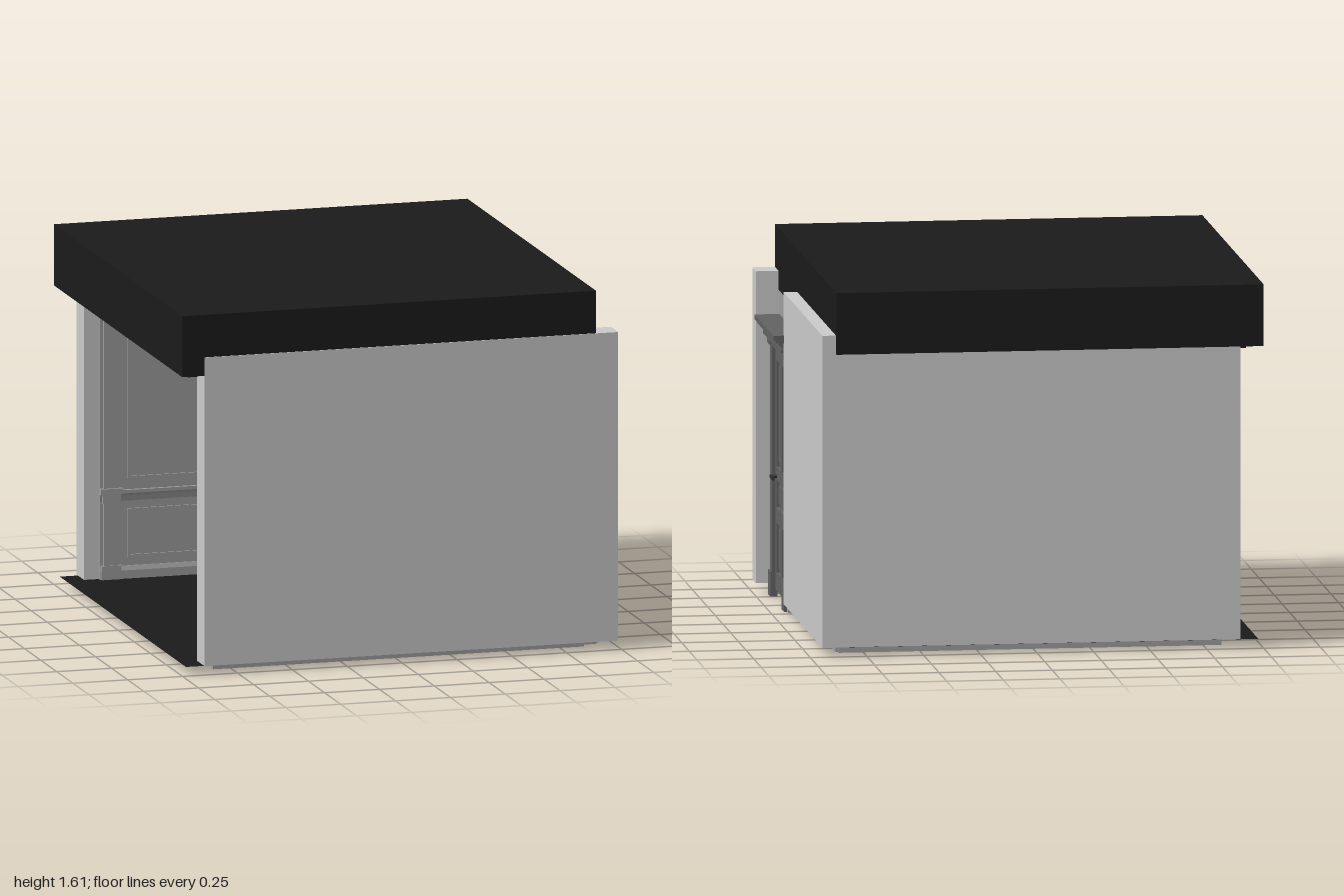
import * as THREE from 'three';

const mat = (color) => new THREE.MeshStandardMaterial({ color, flatShading: true });
const MATS = {
  wall: mat(0xcccccc), trim: mat(0x9f9f9f), door: mat(0x636363), roof: mat(0x1b1b1b), metal: mat(0x303030),
};

// Box given by its limits on each axis
function box(parent, name, m, [x0, x1], [y0, y1], [z0, z1]) {
  const mesh = new THREE.Mesh(new THREE.BoxGeometry(x1 - x0, y1 - y0, z1 - z0), MATS[m]);
  mesh.name = name;
  mesh.position.set((x0 + x1) / 2, (y0 + y1) / 2, (z0 + z1) / 2);
  parent.add(mesh);
  return mesh;
}

// Moulding profile (depth, height) swept along local x
function moulding(parent, name, m, profile, x0, x1) {
  const shape = new THREE.Shape(profile.map(([d, y]) => new THREE.Vector2(d, y)));
  const geo = new THREE.ExtrudeGeometry(shape, { depth: x1 - x0, bevelEnabled: false });
  geo.rotateY(-Math.PI / 2);
  geo.translate(x1, 0, 0);
  const mesh = new THREE.Mesh(geo, MATS[m]);
  mesh.name = name;
  parent.add(mesh);
}

function rect(target, x0, x1, y0, y1) {
  target.moveTo(x0, y0).lineTo(x1, y0).lineTo(x1, y1).lineTo(x0, y1).closePath();
  return target;
}

// Thin raised rectangular frame on a wall panel
function frame(parent, name, x0, x1, y0, y1) {
  const w = 0.014;
  const shape = rect(new THREE.Shape(), x0, x1, y0, y1);
  shape.holes.push(rect(new THREE.Path(), x0 + w, x1 - w, y0 + w, y1 - w));
  const geo = new THREE.ExtrudeGeometry(shape, { depth: 0.012, bevelEnabled: false });
  const mesh = new THREE.Mesh(geo, MATS.trim);
  mesh.name = name;
  parent.add(mesh);
}

// Wall panelling facing local +z, centred on local x
function panelling(name, length, pilasters) {
  const g = new THREE.Group();
  g.name = name;
  const h = length / 2;
  box(g, 'panelBacking', 'trim', [-h, h], [0.04, 1.33], [-0.005, 0.005]);
  moulding(g, 'baseboard', 'trim',
    [[-0.01, 0], [0.016, 0], [0.016, 0.075], [0.008, 0.095], [-0.01, 0.095]], -h, h);
  moulding(g, 'chairRail', 'trim',
    [[0, 0.385], [0.008, 0.385], [0.012, 0.41], [0.02, 0.42], [0.02, 0.435], [0, 0.435]], -h, h);
  moulding(g, 'cornice', 'trim',
    [[0, 1.26], [0.008, 1.26], [0.012, 1.29], [0.024, 1.31], [0.024, 1.34], [0, 1.34]], -h, h);
  for (const x of pilasters) {
    box(g, 'pilasterShaft', 'trim', [x - 0.035, x + 0.035], [0, 1.3], [0, 0.016]);
    box(g, 'pilasterPlinth', 'trim', [x - 0.045, x + 0.045], [0, 0.1], [0, 0.021]);
    for (const y of [0.42, 1.28]) {
      box(g, 'pilasterNeck', 'trim', [x - 0.041, x + 0.041], [y - 0.04, y], [0, 0.021]);
      box(g, 'pilasterCap', 'trim', [x - 0.05, x + 0.05], [y, y + 0.025], [0, 0.027]);
    }
  }
  for (let i = 0; i + 1 < pilasters.length; i++) {
    const a = pilasters[i] + 0.075, b = pilasters[i + 1] - 0.075;
    frame(g, 'lowerPanelFrame', a, b, 0.13, 0.35);
    frame(g, 'upperPanelFrame', a, b, 0.48, 1.21);
  }
  return g;
}

// Doorway facing local +z, centred on local x
function doorway() {
  const g = new THREE.Group();
  g.name = 'doorway';

  // Leaf with sunk panels
  const panels = [
    [-0.155, -0.02, 0.58, 1.05], [0.02, 0.155, 0.58, 1.05], [-0.155, 0.155, 0.4, 0.52],
    [-0.155, -0.02, 0.11, 0.33], [0.02, 0.155, 0.11, 0.33],
  ];
  const leaf = rect(new THREE.Shape(), -0.255, 0.255, 0.03, 1.12);
  for (const p of panels) leaf.holes.push(rect(new THREE.Path(), ...p));
  const leafMesh = new THREE.Mesh(
    new THREE.ExtrudeGeometry(leaf, { depth: 0.036, bevelEnabled: false }), MATS.door);
  leafMesh.name = 'doorLeaf';
  leafMesh.position.z = -0.018;
  g.add(leafMesh);
  for (const [x0, x1, y0, y1] of panels) {
    box(g, 'sunkPanel', 'door', [x0, x1], [y0, y1], [-0.006, 0.006]);
    box(g, 'raisedField', 'door', [x0 + 0.022, x1 - 0.022], [y0 + 0.022, y1 - 0.022], [-0.012, 0.012]);
  }

  // Lever handles on both faces
  for (const s of [1, -1]) {
    const stem = new THREE.Mesh(new THREE.CylinderGeometry(0.007, 0.007, 0.03, 10), MATS.metal);
    stem.name = 'handleStem';
    stem.rotation.x = Math.PI / 2;
    stem.position.set(-0.145, 0.538, s * 0.03);
    g.add(stem);
    const z = s * 0.044;
    box(g, 'handleLever', 'metal', [-0.153, -0.068], [0.532, 0.545], [z - 0.005, z + 0.005]);
  }

  // Jambs and casing
  for (const s of [1, -1]) {
    const side = (a, b) => (s > 0 ? [a, b] : [-b, -a]);
    box(g, 'jamb', 'trim', side(0.25, 0.288), [0, 1.155], [-0.05, 0.028]);
    box(g, 'casing', 'door', side(0.19, 0.255), [0.03, 1.155], [-0.035, 0.034]);
    box(g, 'casingPlinth', 'door', side(0.186, 0.262), [0.0, 0.11], [0.01, 0.042]);
    box(g, 'casingCapital', 'door', side(0.186, 0.255), [1.115, 1.155], [0.01, 0.046]);
  }
  box(g, 'frieze', 'door', [-0.255, 0.255], [1.105, 1.16], [-0.04, 0.03]);
  frame(g, 'friezeFrame', -0.18, 0.18, 1.115, 1.15);
  g.children[g.children.length - 1].position.z = 0.026;
  g.children[g.children.length - 1].material = MATS.door;

  // Stepped head cornice
  const steps = [[0.292, 1.15, 1.165, 0.06], [0.28, 1.165, 1.18, 0.055], [0.29, 1.18, 1.195, 0.07],
    [0.305, 1.195, 1.21, 0.085], [0.31, 1.21, 1.23, 0.095]];
  for (const [w, y0, y1, d] of steps) box(g, 'headCornice', 'door', [-w, w], [y0, y1], [-0.04, d]);
  return g;
}

export function createModel() {
  const model = new THREE.Group();
  model.name = 'panelledRoom';

  // Shell: floor sheet, three walls, roof slab
  const floor = new THREE.Mesh(new THREE.PlaneGeometry(1.88, 1.96), MATS.roof.clone());
  floor.material.side = THREE.DoubleSide;
  floor.name = 'floor';
  floor.rotation.x = -Math.PI / 2;
  floor.position.set(-0.04, 0.038, 0.005);
  model.add(floor);
  box(model, 'frontWall', 'wall', [-0.9, 0.985], [0.04, 1.42], [0.885, 1]);
  box(model, 'backWall', 'wall', [-0.9, 0.945], [0.04, 1.42], [-0.985, -0.87]);
  box(model, 'rightWall', 'wall', [0.86, 0.945], [0.04, 1.42], [-0.985, 0.277]);
  box(model, 'roofSlab', 'roof', [-1, 0.885], [1.337, 1.61], [-1, 0.996]);
  box(model, 'openSideBeam', 'roof', [-0.94, -0.86], [1.31, 1.35], [-0.87, 0.885]);
  box(model, 'overDoorPanel', 'trim', [0.83, 0.882], [1.2, 1.34], [0.277, 0.86]);

  // Interior panelling on the three walls
  const front = panelling('frontPanelling', 1.69, [-0.795, 0, 0.795]);
  front.rotation.y = Math.PI;
  front.position.set(0.015, 0, 0.885);
  const back = panelling('backPanelling', 1.69, [-0.795, 0, 0.795]);
  back.position.set(0.015, 0, -0.87);
  const right = panelling('rightPanelling', 1.14, [-0.52, 0, 0.52]);
  right.rotation.y = -Math.PI / 2;
  right.position.set(0.86, 0, -0.29);
  model.add(front, back, right);

  // Door in the gap between the front and right walls
  const door = doorway();
  door.rotation.y = Math.PI / 2;
  door.position.set(0.897, 0, 0.57);
  model.add(door);
  return model;
}
